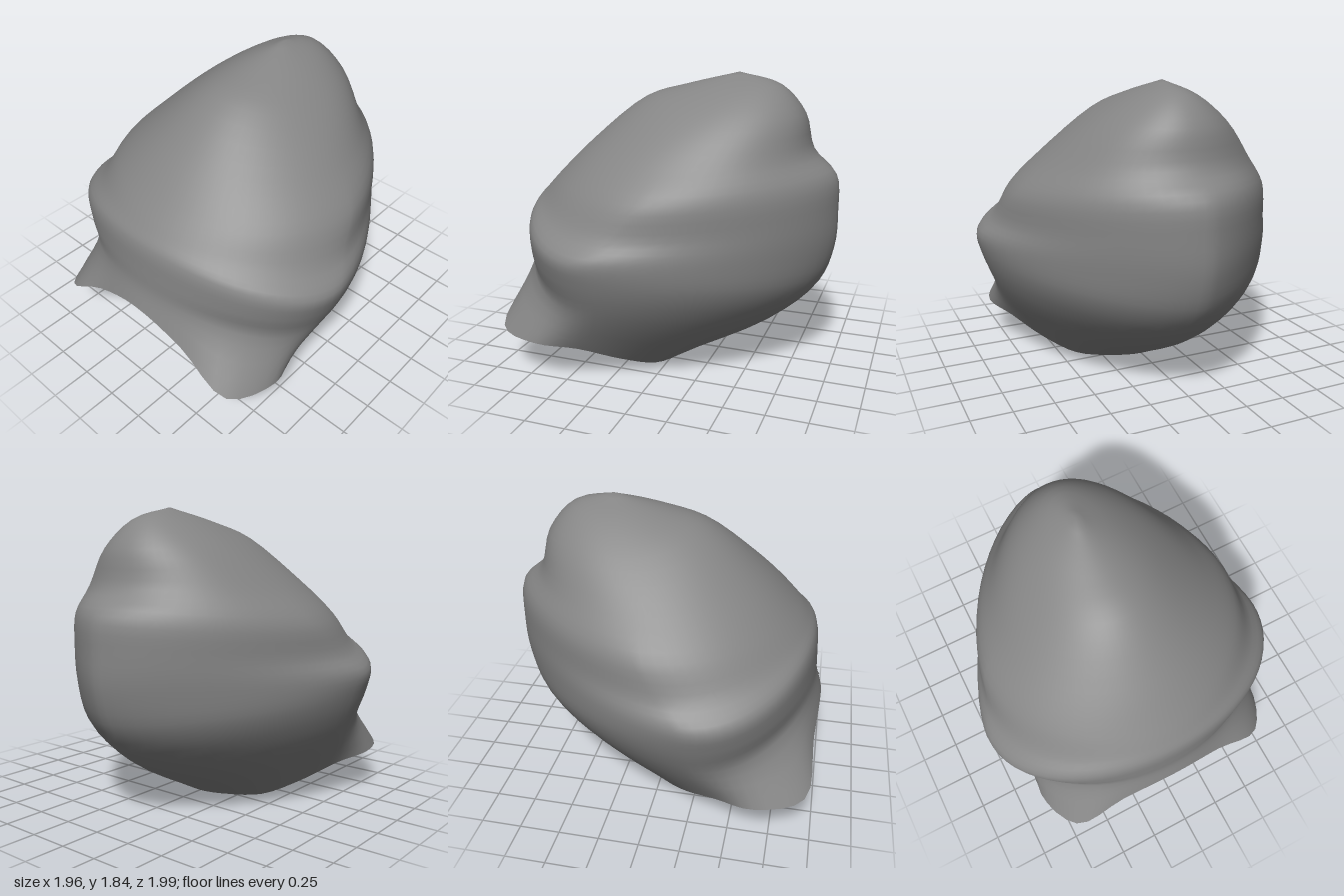
import * as THREE from 'three';
import { mergeVertices } from 'three/addons/utils/BufferGeometryUtils.js';

const AROUND = 64;
const V = (x, y, z) => new THREE.Vector3(x, y, z);

// Half of the opening's edge, front centre to back centre; mirrored into a loop.
function rimCurve() {
  const half = [
    V(0, 0.58, 0.99), V(0.36, 0.475, 0.97), V(0.71, 0.28, 0.95), V(0.84, 0.26, 0.66),
    V(0.75, 0.22, 0.42), V(0.6, 0.12, 0.2), V(0.42, 0.035, 0.04), V(0.2, 0.01, -0.05), V(0, 0, -0.08),
  ];
  const other = half.slice(1, -1).reverse().map((p) => V(-p.x, p.y, p.z));
  return new THREE.CatmullRomCurve3([...half, ...other], true);
}

// Body loops from low to high: height at front / side / back, half width,
// z at front / widest / back, and how much the back tapers (1 is round).
const LOOPS = [
  [0.72, 0.5, 0.3, 0.87, 0.95, 0.3, -0.63, 1.2],
  [0.86, 0.7, 0.56, 0.95, 0.94, 0.27, -0.9, 1.25],
  [1.04, 0.85, 0.8, 0.98, 0.92, 0.27, -0.985, 1.3],
  [1.12, 0.97, 1.03, 0.89, 0.86, 0.15, -0.995, 1.25],
  [1.22, 1.17, 1.24, 0.82, 0.765, 0.0, -0.975, 1.25],
  [1.42, 1.36, 1.38, 0.65, 0.56, -0.07, -0.83, 1.05],
  [1.68, 1.6, 1.6, 0.41, 0.23, -0.25, -0.77, 1],
  [1.76, 1.75, 1.77, 0.2, -0.03, -0.33, -0.62, 1],
];
const APEX = V(0, 1.84, -0.36);

// Round at the front, tapering at the back.
function loopPoint([yf, ys, yb, w, zf, zc, zb, taper], angle) {
  const s = Math.sin(angle), c = Math.cos(angle);
  const front = c >= 0, e = front ? 1 : taper;
  return V(
    w * Math.sign(s) * Math.abs(s) ** e,
    ys + ((front ? yf : yb) - ys) * c * c,
    zc + ((front ? zf : zb) - zc) * Math.abs(c) ** e,
  );
}

// Closed grid: columns run around the model, rows run along each column.
function loft(rows, pointAt) {
  const pos = [], index = [];
  for (let j = 0; j <= rows; j++)
    for (let i = 0; i < AROUND; i++) pos.push(...pointAt(i, j / rows).toArray());
  for (let j = 0; j < rows; j++)
    for (let i = 0; i < AROUND; i++) {
      const k = (i + 1) % AROUND;
      const a = j * AROUND + i, b = j * AROUND + k;
      index.push(a, b, b + AROUND, a, b + AROUND, a + AROUND);
    }
  const g = new THREE.BufferGeometry();
  g.setAttribute('position', new THREE.Float32BufferAttribute(pos, 3));
  g.setIndex(index);
  const merged = mergeVertices(g, 1e-5);
  merged.computeVertexNormals();
  return merged;
}

export function createModel() {
  const group = new THREE.Group();
  const material = new THREE.MeshStandardMaterial({ color: 0x858585, side: THREE.DoubleSide });
  const rim = rimCurve();
  const edge = Array.from({ length: AROUND }, (_, i) => rim.getPoint(i / AROUND));

  // Outer shell, from the rim up to the peak
  const columns = edge.map((p, i) => new THREE.CatmullRomCurve3([
    p, ...LOOPS.map((l) => loopPoint(l, (i / AROUND) * Math.PI * 2)), APEX,
  ]));
  const shell = new THREE.Mesh(loft(36, (i, t) => columns[i].getPoint(t)), material);
  shell.name = 'outerShell';

  // Shallow hollow closing the opening underneath
  const centre = V(0, 0.29, 0.45);
  const hollow = new THREE.Mesh(loft(16, (i, t) => {
    const p = centre.clone().lerp(edge[i], t);
    p.y += 0.08 * (1 - t * t);
    return p;
  }), material);
  hollow.name = 'innerHollow';

  group.add(shell, hollow);
  return group;
}
